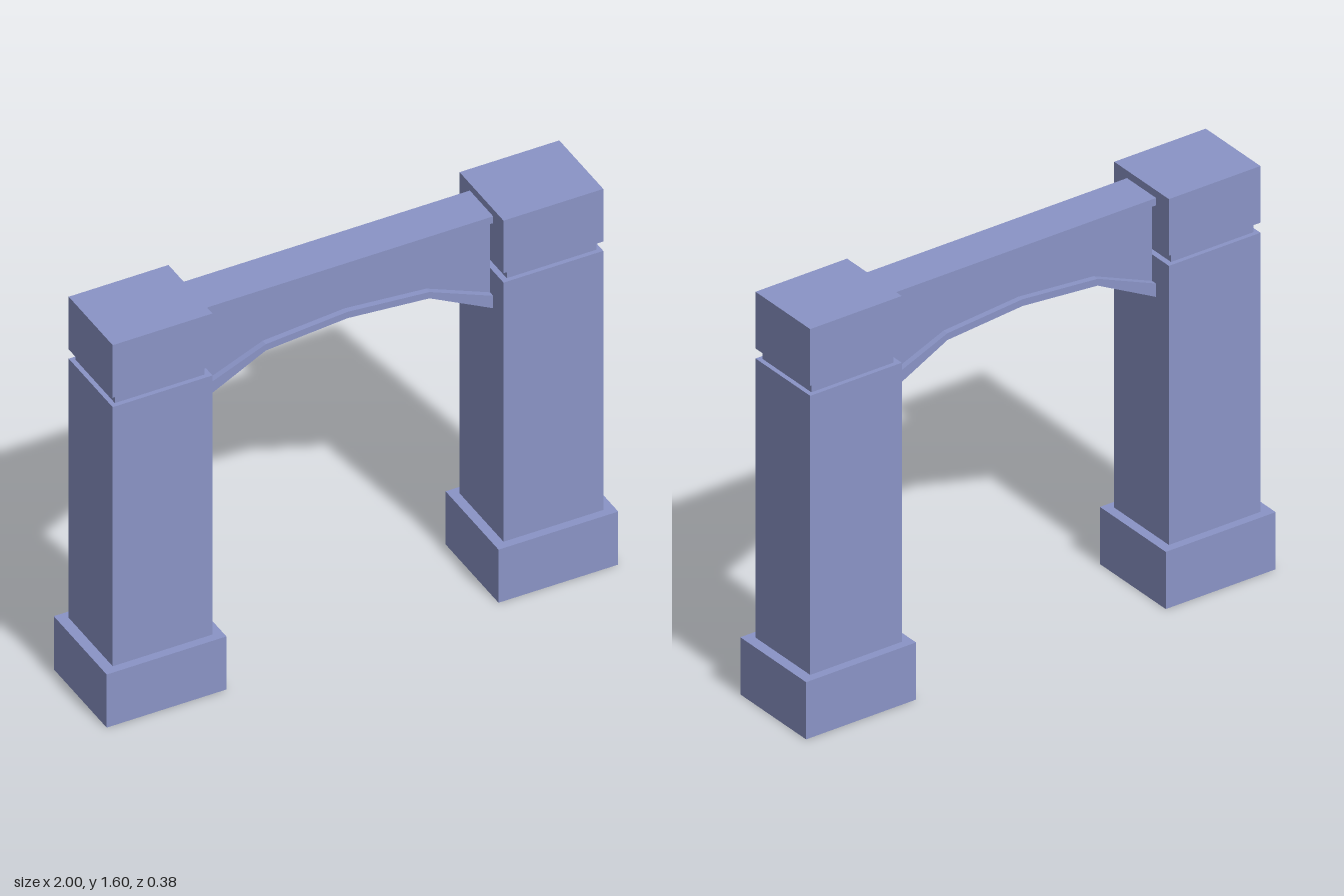
import * as THREE from 'three';

const material = new THREE.MeshStandardMaterial({ color: 0x8a94c6, flatShading: true });

function block(name, width, height, depth, x, bottom) {
  const mesh = new THREE.Mesh(new THREE.BoxGeometry(width, height, depth), material);
  mesh.name = name;
  mesh.position.set(x, bottom + height / 2, 0);
  return mesh;
}

// Extrudes an x-y outline symmetrically about z = 0
function slab(name, points, depth) {
  const shape = new THREE.Shape(points.map(([x, y]) => new THREE.Vector2(x, y)));
  const geometry = new THREE.ExtrudeGeometry(shape, { depth, bevelEnabled: false });
  geometry.translate(0, 0, -depth / 2);
  const mesh = new THREE.Mesh(geometry, material);
  mesh.name = name;
  return mesh;
}

// Square pillar: wide base, shaft, recessed neck and cap
function pillar(name, side) {
  const group = new THREE.Group();
  group.name = name;
  group.add(
    block('base', 0.468, 0.227, 0.385, side * 0.766, 0),
    block('shaft', 0.39, 1.108, 0.32, side * 0.764, 0.227),
    block('neck', 0.35, 0.04, 0.285, side * 0.766, 1.335),
    block('cap', 0.39, 0.225, 0.32, side * 0.764, 1.375)
  );
  return group;
}

export function createModel() {
  const model = new THREE.Group();
  model.name = 'archway';
  model.add(pillar('leftPillar', 1), pillar('rightPillar', -1));

  // Five-point faceted arch, lower and upper edges of its rim
  const end = 0.569;
  const arch = (springing, shoulder, crown) => [
    [-end, springing], [-0.32, shoulder], [0, crown], [0.32, shoulder], [end, springing]
  ];
  const lower = arch(1.177, 1.306, 1.333);
  const upper = arch(1.23, 1.333, 1.36);

  // Beam: recessed web between a flat top rim and the arched rim
  const beam = new THREE.Group();
  beam.name = 'beam';
  beam.add(
    slab('web', [...upper, [end, 1.541], [-end, 1.541]], 0.124),
    slab('archRim', [...lower, ...upper.slice().reverse()], 0.17),
    block('topRim', end * 2, 0.029, 0.17, 0, 1.541)
  );
  model.add(beam);
  return model;
}
